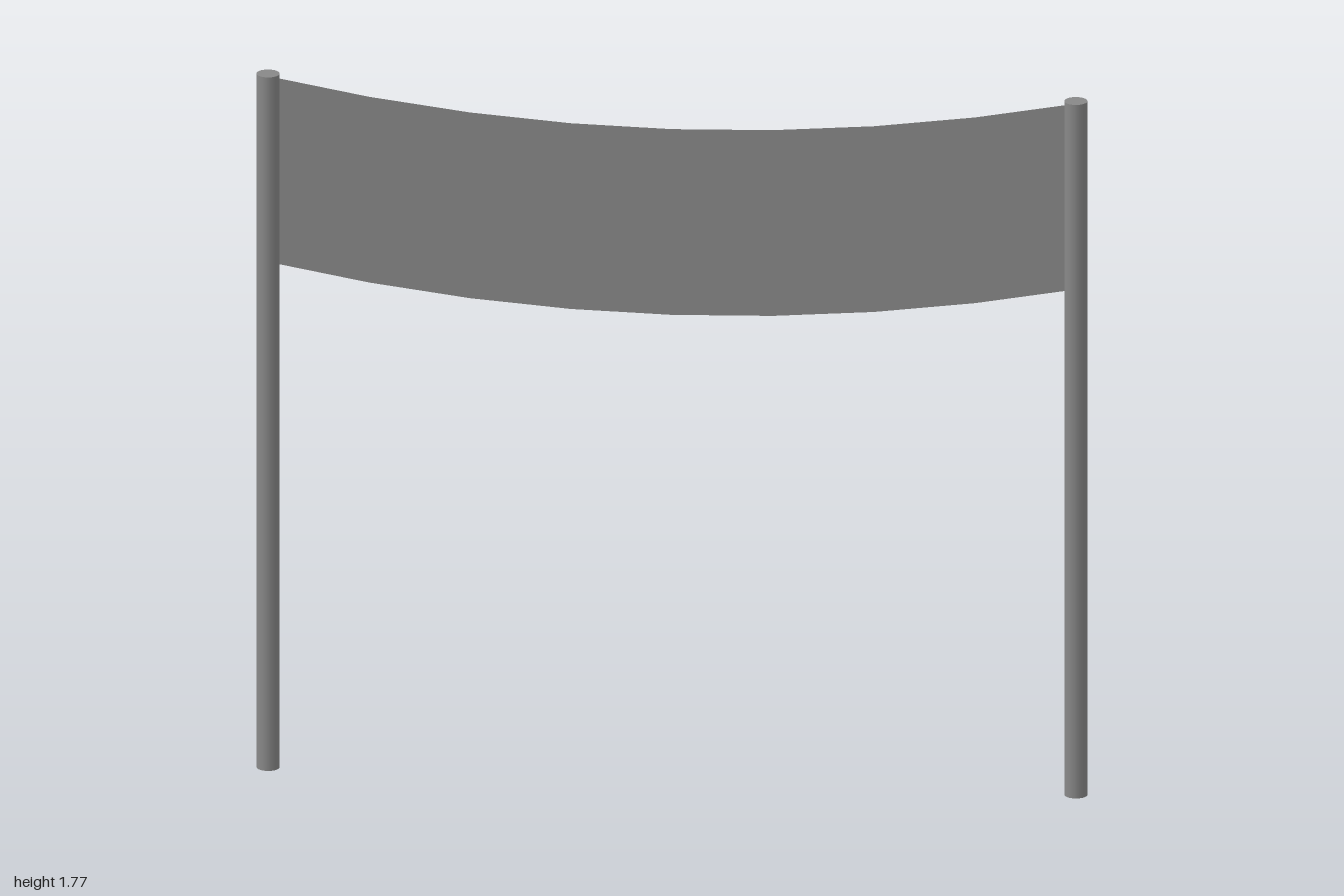
import * as THREE from 'three';

const HEIGHT = 1.77, RADIUS = 0.028, POLE_X = 1 - RADIUS;
const BANNER_TOP = 1.763, BANNER_DROP = 0.474, SAG = 0.1;

export function createModel() {
  const group = new THREE.Group();
  const poleMaterial = new THREE.MeshStandardMaterial({ color: 0x888888 });
  const clothMaterial = new THREE.MeshStandardMaterial({ color: 0x888888, side: THREE.DoubleSide });

  // Two round upright poles
  const poleGeometry = new THREE.CylinderGeometry(RADIUS, RADIUS, HEIGHT, 16);
  for (const [name, side] of [['leftPole', 1], ['rightPole', -1]]) {
    const pole = new THREE.Mesh(poleGeometry, poleMaterial);
    pole.name = name;
    pole.position.set(side * POLE_X, HEIGHT / 2, 0);
    group.add(pole);
  }

  // Thin cloth banner between the pole centres, sagging in a parabola
  const cloth = new THREE.PlaneGeometry(2 * POLE_X, BANNER_DROP, 8, 1);
  cloth.translate(0, BANNER_TOP - BANNER_DROP / 2, 0);
  const position = cloth.attributes.position;
  for (let i = 0; i < position.count; i++) {
    const t = position.getX(i) / POLE_X;
    position.setY(i, position.getY(i) - SAG * (1 - t * t));
  }
  const banner = new THREE.Mesh(cloth, clothMaterial);
  banner.name = 'banner';
  group.add(banner);

  return group;
}
